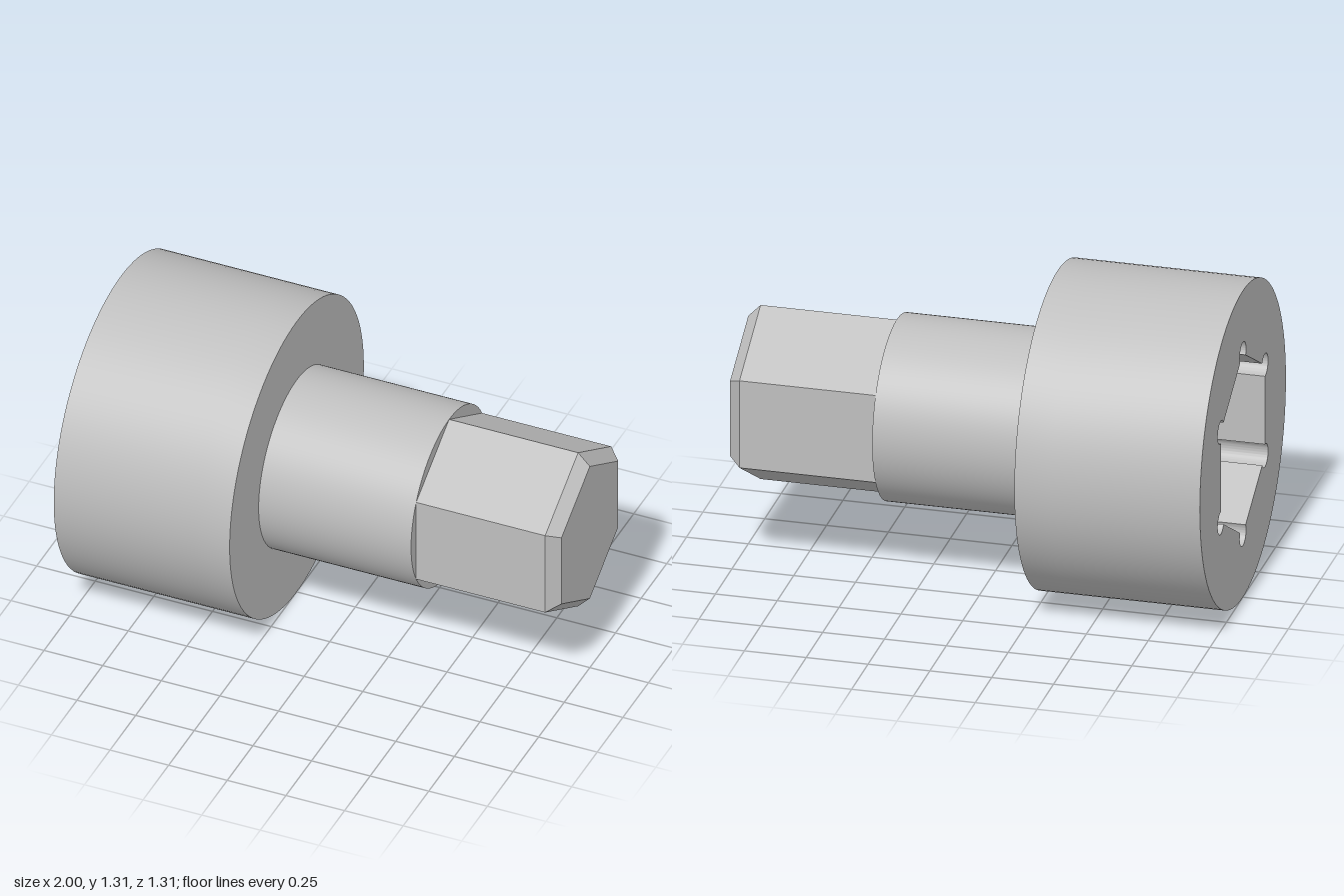
import * as THREE from 'three';
import { toCreasedNormals } from 'three/addons/utils/BufferGeometryUtils.js';

export function createModel() {
  const model = new THREE.Group();
  model.name = 'hexSocketAdapter';
  const steel = new THREE.MeshStandardMaterial({ color: 0xbfbfbf });
  steel.name = 'steel grey';

  const HEAD_R = 0.655, SHANK_R = 0.372, TIP_R = 0.32;
  const SOCKET_R = 0.387, RELIEF_R = 0.048, SOCKET_DEPTH = 0.6;

  const add = (name, geometry) => {
    const mesh = new THREE.Mesh(toCreasedNormals(geometry, 0.6), steel);
    mesh.name = name;
    mesh.position.y = HEAD_R;
    model.add(mesh);
  };

  // Round or hexagonal bar along x, from x0 (radius r0) to x1 (radius r1)
  const bar = (name, x0, x1, r0, r1, sides, open = false) => {
    const g = new THREE.CylinderGeometry(r1, r0, x1 - x0, sides, 1, open, Math.PI / 2);
    g.rotateZ(-Math.PI / 2);
    g.translate((x0 + x1) / 2, 0, 0);
    add(name, g);
  };

  // Head wall: a ring pierced by a hexagon with round corner reliefs
  const ring = new THREE.Shape();
  ring.absarc(0, 0, HEAD_R, 0, Math.PI * 2, false);
  const socket = new THREE.Path();
  for (let i = 0; i < 6; i++) {
    const a = Math.PI / 2 + (i * Math.PI) / 3;
    socket.absarc(SOCKET_R * Math.cos(a), SOCKET_R * Math.sin(a), RELIEF_R,
      a - (2 * Math.PI) / 3, a + (2 * Math.PI) / 3, false);
  }
  socket.closePath();
  ring.holes.push(socket);
  const wall = new THREE.ExtrudeGeometry(ring, {
    depth: SOCKET_DEPTH, bevelEnabled: false, curveSegments: 48,
  });
  wall.rotateY(Math.PI / 2);
  wall.translate(-1, 0, 0);
  add('socketHead', wall);

  // Solid floor of the head, closing the socket
  bar('headFloor', -1 + SOCKET_DEPTH, -0.25, HEAD_R, HEAD_R, 96);

  // Round shank, hexagonal drive and its chamfered end
  bar('shank', -0.25, 0.4, SHANK_R, SHANK_R, 96);
  bar('hexDrive', 0.4, 0.95, SHANK_R, SHANK_R, 6, true);
  bar('hexChamfer', 0.95, 1, SHANK_R, TIP_R, 6);

  return model;
}
